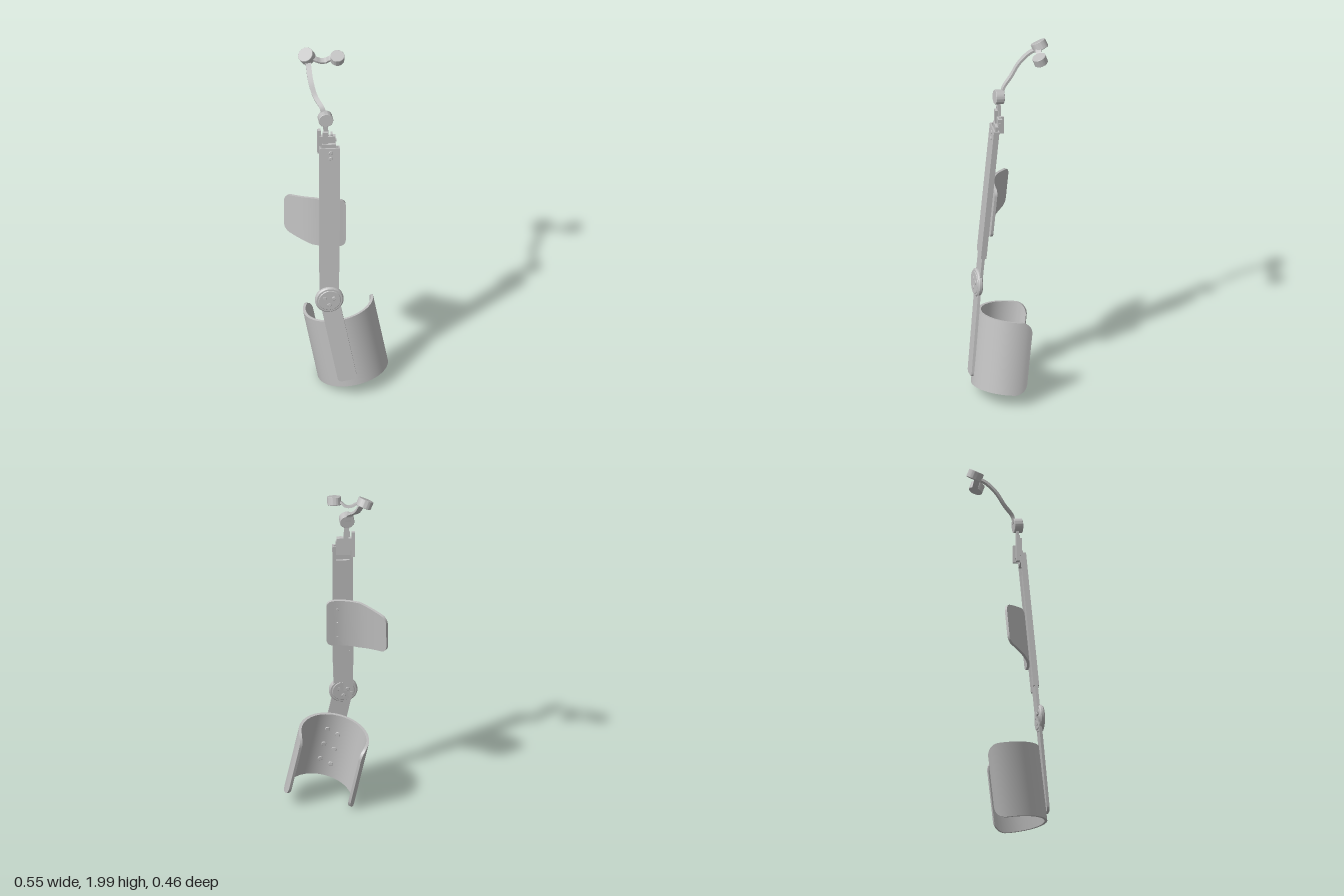
import * as THREE from 'three';
import { toCreasedNormals } from 'three/addons/utils/BufferGeometryUtils.js';

const V = (x, y, z) => new THREE.Vector3(x, y, z);
const grey = new THREE.MeshStandardMaterial({ color: 0xc0c0c0 });
grey.name = 'lightGrey';

function add(parent, name, geo, x = 0, y = 0, z = 0) {
  const m = new THREE.Mesh(geo, grey);
  m.name = name;
  m.position.set(x, y, z);
  parent.add(m);
  return m;
}
const box = (parent, name, w, h, d, x, y, z) => add(parent, name, new THREE.BoxGeometry(w, h, d), x, y, z);

// Group at pos whose y axis follows up and whose z axis stays close to world z
function frame(parent, name, pos, up) {
  const g = new THREE.Group();
  g.name = name;
  const y = up.clone().normalize();
  const z = V(0, 0, 1).addScaledVector(y, -y.z).normalize();
  g.quaternion.setFromRotationMatrix(new THREE.Matrix4().makeBasis(V(0, 0, 0).crossVectors(y, z), y, z));
  g.position.copy(pos);
  parent.add(g);
  return g;
}

// Chamfered drum about an axis
function drum(parent, name, r, h, bevel, pos, axis) {
  const pts = [[0, -h / 2], [r - bevel, -h / 2], [r, -h / 2 + bevel], [r, h / 2 - bevel], [r - bevel, h / 2], [0, h / 2]];
  const geo = toCreasedNormals(new THREE.LatheGeometry(pts.map(p => new THREE.Vector2(...p)), 40), 0.5);
  const m = add(parent, name, geo, pos.x, pos.y, pos.z);
  m.quaternion.setFromUnitVectors(V(0, 1, 0), axis.clone().normalize());
  return m;
}

// Strip swept along a curve; half(u) gives its half width along dir
function ribbon(curve, dir, thick, half, n = 32) {
  const loops = [];
  for (let k = 0; k <= n; k++) {
    const u = (1 - Math.cos(Math.PI * k / n)) / 2;
    const p = curve.getPointAt(u);
    const nrm = V(0, 0, 0).crossVectors(curve.getTangentAt(u), dir).normalize();
    loops.push([[-1, -1], [1, -1], [1, 1], [-1, 1]].map(([a, b]) =>
      p.clone().addScaledVector(dir, a * half(u)).addScaledVector(nrm, b * thick / 2)));
  }
  const tris = [];
  const quad = (a, b, c, d) => tris.push(a, b, c, a, c, d);
  for (let k = 0; k < n; k++)
    for (let j = 0; j < 4; j++) {
      const i = (j + 1) % 4;
      quad(loops[k][j], loops[k][i], loops[k + 1][i], loops[k + 1][j]);
    }
  quad(...loops[0].slice().reverse());
  quad(...loops[n]);
  return toCreasedNormals(new THREE.BufferGeometry().setFromPoints(tris), 0.6);
}

// Reduction of half height that rounds the corners of a shell
const corner = (u, length, r) => {
  const d = Math.min(u, 1 - u) * length;
  return d < r ? r - Math.sqrt(Math.max(0, r * r - (r - d) ** 2)) : 0;
};

// Upright plate with rounded lower corners
function plate(w, y0, y1, r, depth) {
  const s = new THREE.Shape(), h = w / 2;
  s.moveTo(-h, y1);
  s.lineTo(-h, y0 + r);
  s.quadraticCurveTo(-h, y0, -h + r, y0);
  s.lineTo(h - r, y0);
  s.quadraticCurveTo(h, y0, h, y0 + r);
  s.lineTo(h, y1);
  return new THREE.ExtrudeGeometry(s, { depth, bevelEnabled: false });
}

export function createModel() {
  const root = new THREE.Group();
  root.name = 'armBrace';
  const hinge = V(-0.05, 0.612, 0.165);
  const zAxis = V(0, 0, 1);

  // Upper arm: a channel open to the back, with a slider bar inside
  const upper = frame(root, 'upperArm', hinge, V(0.008, 1, -0.09));
  const u = new THREE.Shape();
  [[-0.054, -0.008], [0.054, -0.008], [0.054, 0.022], [0.036, 0.022], [0.036, 0.017], [0.047, 0.017], [0.047, 0],
    [-0.047, 0], [-0.047, 0.017], [-0.036, 0.017], [-0.036, 0.022], [-0.054, 0.022]]
    .forEach(([x, y], i) => (i ? u.lineTo(x, y) : u.moveTo(x, y)));
  const channel = new THREE.ExtrudeGeometry(u, { depth: 0.772, bevelEnabled: false });
  add(upper, 'channel', channel.rotateX(-Math.PI / 2).rotateY(0).scale(1, 1, 1), 0, 0.172, 0)
    .geometry.computeVertexNormals();
  box(upper, 'sliderBar', 0.078, 0.7, 0.01, 0, 0.5, -0.008);
  add(upper, 'hingePlate', plate(0.104, 0, 0.26, 0.02, 0.015), 0, 0, -0.014);
  for (const y of [0.882, 0.918]) drum(upper, 'channelScrew', 0.011, 0.006, 0.002, V(0.005, y, 0.009), zAxis);

  // Hinge discs with screws on both faces
  drum(upper, 'hingeDisc', 0.076, 0.026, 0.007, V(0, 0, 0.002), V(0.08, 0, 1));
  drum(upper, 'hingeCap', 0.06, 0.032, 0.003, V(0, 0, 0.002), V(0.08, 0, 1));
  for (let i = 0; i < 3; i++) {
    const a = i * Math.PI * 2 / 3 + 0.5;
    drum(upper, 'hingeScrew', 0.011, 0.038, 0.002, V(0.028 * Math.cos(a), 0.028 * Math.sin(a), 0.002), zAxis);
  }

  // Upper cuff: curved paddle behind the channel
  const padCurve = new THREE.CatmullRomCurve3([V(-0.226, 0, -0.16), V(-0.155, 0, -0.1), V(-0.085, 0, -0.055),
    V(0, 0, -0.03), V(0.088, 0, -0.03)]);
  add(upper, 'upperCuff', ribbon(padCurve, V(0, 1, 0), 0.014,
    t => 0.108 + 0.036 * Math.min(1, t / 0.5) - corner(t, 0.36, 0.035)), 0, 0.458, 0);
  for (const x of [-0.03, 0.03])
    for (const y of [0.37, 0.46, 0.55]) drum(upper, 'cuffRivet', 0.006, 0.006, 0.001, V(x, y, -0.039), zAxis);

  // Forearm strap
  const down = V(-0.19, 1, -0.12);
  const lower = frame(root, 'forearm', hinge, down);
  add(lower, 'forearmStrap', plate(0.102, -0.512, 0, 0.025, 0.015), 0, 0, -0.012);

  // Forearm cuff: open sleeve with rounded wings
  const cuff = frame(root, 'forearmCuffGroup', V(0.045, 0.245, 0.008), V(-0.19, 1, -0.14));
  const r = 0.182, arc = [];
  for (let i = 0; i <= 24; i++) {
    const a = THREE.MathUtils.degToRad(-125 + 237 * i / 24);
    arc.push(V(r * Math.sin(a), 0, r * Math.cos(a)));
  }
  add(cuff, 'forearmCuff', ribbon(new THREE.CatmullRomCurve3(arc), V(0, 1, 0), 0.015,
    t => 0.202 - corner(t, 0.75, 0.065), 56));
  for (const a of [-0.28, 0.07])
    for (const y of [0.1, 0, -0.1])
      drum(cuff, 'forearmRivet', 0.013, 0.008, 0.002,
        V((r - 0.009) * Math.sin(a), y + a * 0.06, (r - 0.009) * Math.cos(a)), V(Math.sin(a), 0, Math.cos(a)));

  // Adjuster bracket at the top of the channel
  box(root, 'bracketPost', 0.018, 0.15, 0.018, -0.097, 1.575, 0.045);
  box(root, 'bracketBlock', 0.085, 0.075, 0.022, -0.052, 1.575, 0.05);
  box(root, 'bracketTongue', 0.03, 0.13, 0.014, -0.065, 1.58, 0.062);
  box(root, 'bracketFoot', 0.075, 0.07, 0.016, -0.045, 1.535, 0.067);
  box(root, 'bracketPin', 0.03, 0.014, 0.014, -0.02, 1.585, 0.052);
  box(root, 'bracketRib', 0.012, 0.1, 0.026, -0.03, 1.57, 0.04);

  // Lower swivel and its stem
  box(root, 'swivelStem', 0.026, 0.1, 0.014, -0.062, 1.66, 0.046).rotation.z = 0.08;
  drum(root, 'lowerSwivel', 0.039, 0.046, 0.002, V(-0.063, 1.723, 0.047), V(0.08, 0.12, 1));

  // Curved arm up to the shoulder swivel
  const arm = new THREE.CatmullRomCurve3([V(-0.07, 1.73, 0.028), V(-0.078, 1.77, 0.018), V(-0.112, 1.815, -0.03),
    V(-0.132, 1.875, -0.075), V(-0.14, 1.925, -0.13), V(-0.142, 1.945, -0.17)]);
  add(root, 'shoulderArm', ribbon(arm, V(1, 0, 0), 0.013, () => 0.014));
  drum(root, 'shoulderSwivel', 0.042, 0.044, 0.002, V(-0.147, 1.962, -0.19), V(-0.4, 0.85, 0.35));

  // Short bowed link to the end swivel
  const link = new THREE.CatmullRomCurve3([V(-0.125, 1.962, -0.18), V(-0.1, 1.95, -0.175), V(-0.075, 1.938, -0.177),
    V(-0.045, 1.94, -0.176), V(-0.025, 1.957, -0.17), V(0, 1.962, -0.165)]);
  add(root, 'endLink', ribbon(link, V(0, -0.33, 0.94), 0.012, () => 0.015));
  drum(root, 'endSwivel', 0.037, 0.044, 0.002, V(0.013, 1.966, -0.16), V(0, 0.94, 0.33));
  return root;
}
